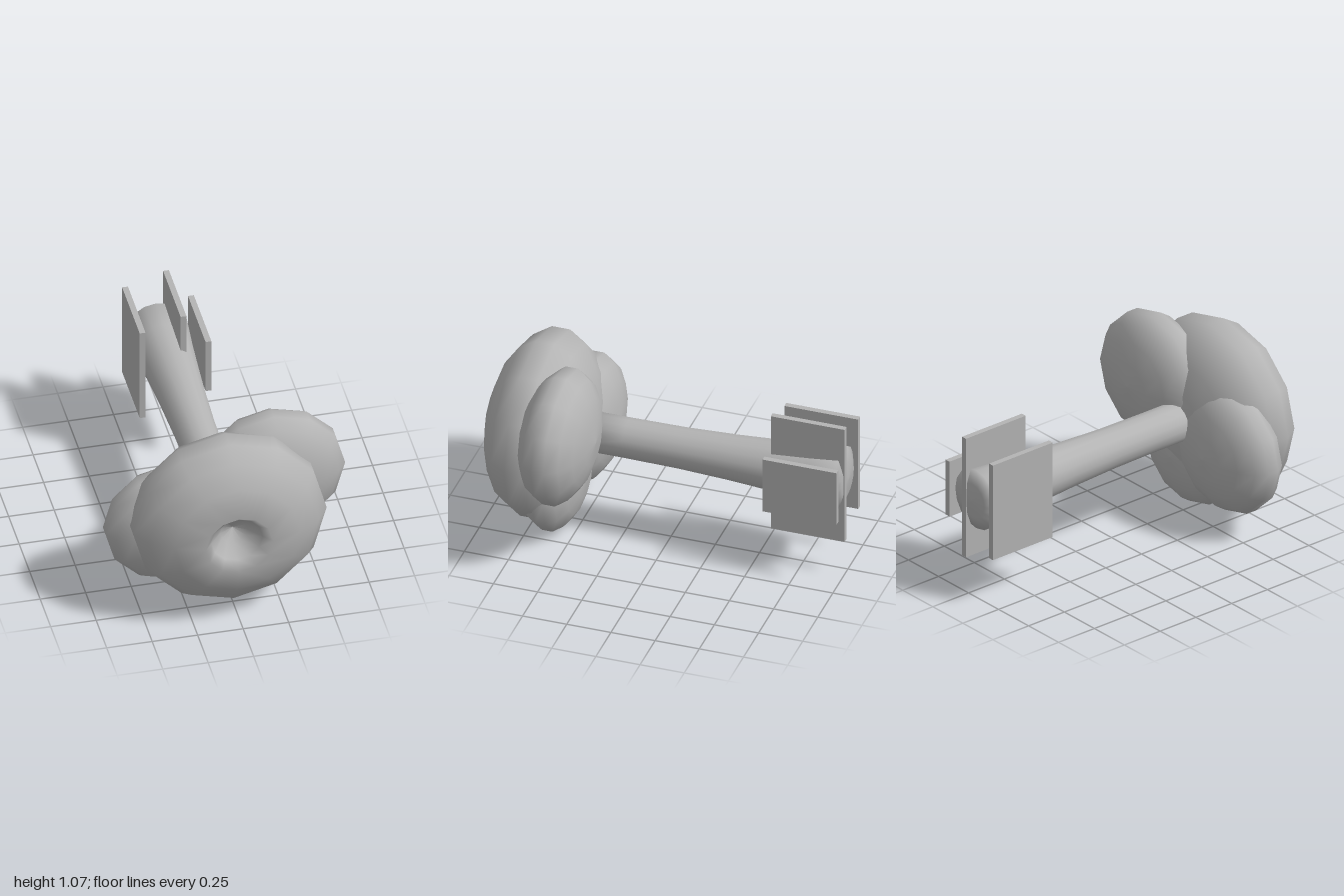
import * as THREE from 'three';

const grey = new THREE.MeshStandardMaterial({ color: 0xb4b4b4 });
grey.name = 'plain grey';

// Revolve (radius, z) points, listed back to front, around the z axis
function revolve(points, sides) {
  const profile = points.map(([r, z]) => new THREE.Vector2(r, z));
  return new THREE.LatheGeometry(profile, sides).rotateX(Math.PI / 2);
}

// Unit ball profile with nine bands, pole to pole along z
function ballProfile() {
  const points = [];
  for (let i = 0; i <= 9; i++) {
    const a = (i / 9) * Math.PI;
    points.push([i % 9 ? Math.sin(a) : 0, -Math.cos(a)]);
  }
  return points;
}

export function createModel() {
  const group = new THREE.Group();

  const add = (name, geometry, x, y, z) => {
    const mesh = new THREE.Mesh(geometry, grey);
    mesh.name = name;
    mesh.position.set(x, y, z);
    group.add(mesh);
  };

  // Large front lobe, its front pole pressed in to a hollow
  const dished = ballProfile().slice(0, -1);
  dished.push([0.26, 0.76], [0.14, 0.5], [0, 0.36]);
  add('mainLobe', revolve(dished, 12).scale(0.54, 0.518, 0.298), -0.02, 0.567, 0.72);

  // Smaller lobes clustered behind it: name, centre, radii
  const lobes = [
    ['upperLeftLobe', [0.27, 0.695, 0.535], [0.396, 0.376, 0.202]],
    ['rightLobe', [-0.295, 0.463, 0.575], [0.376, 0.358, 0.192]],
    ['lowerLobe', [0.06, 0.315, 0.625], [0.335, 0.315, 0.17]],
  ];
  for (const [name, centre, radii] of lobes) {
    add(name, revolve(ballProfile(), 12).scale(...radii), ...centre);
  }

  // Long stem flaring toward a shallow rounded back end
  const stem = [
    [0, -0.999], [0.1, -0.992], [0.174, -0.965], [0.158, -0.8], [0.143, -0.6],
    [0.127, -0.35], [0.115, -0.05], [0.112, 0.25], [0.112, 0.43], [0, 0.5],
  ];
  add('stem', revolve(stem, 16), -0.022, 0.567, 0);

  // Upright plates around the back end: name, x, height
  const plates = [
    ['rightPlate', -0.187, 0.57],
    ['middlePlate', 0.038, 0.715],
    ['leftPlate', 0.175, 0.33],
  ];
  for (const [name, x, height] of plates) {
    add(name, new THREE.BoxGeometry(0.032, height, 0.418), x, 0.568, -0.791);
  }

  return group;
}
